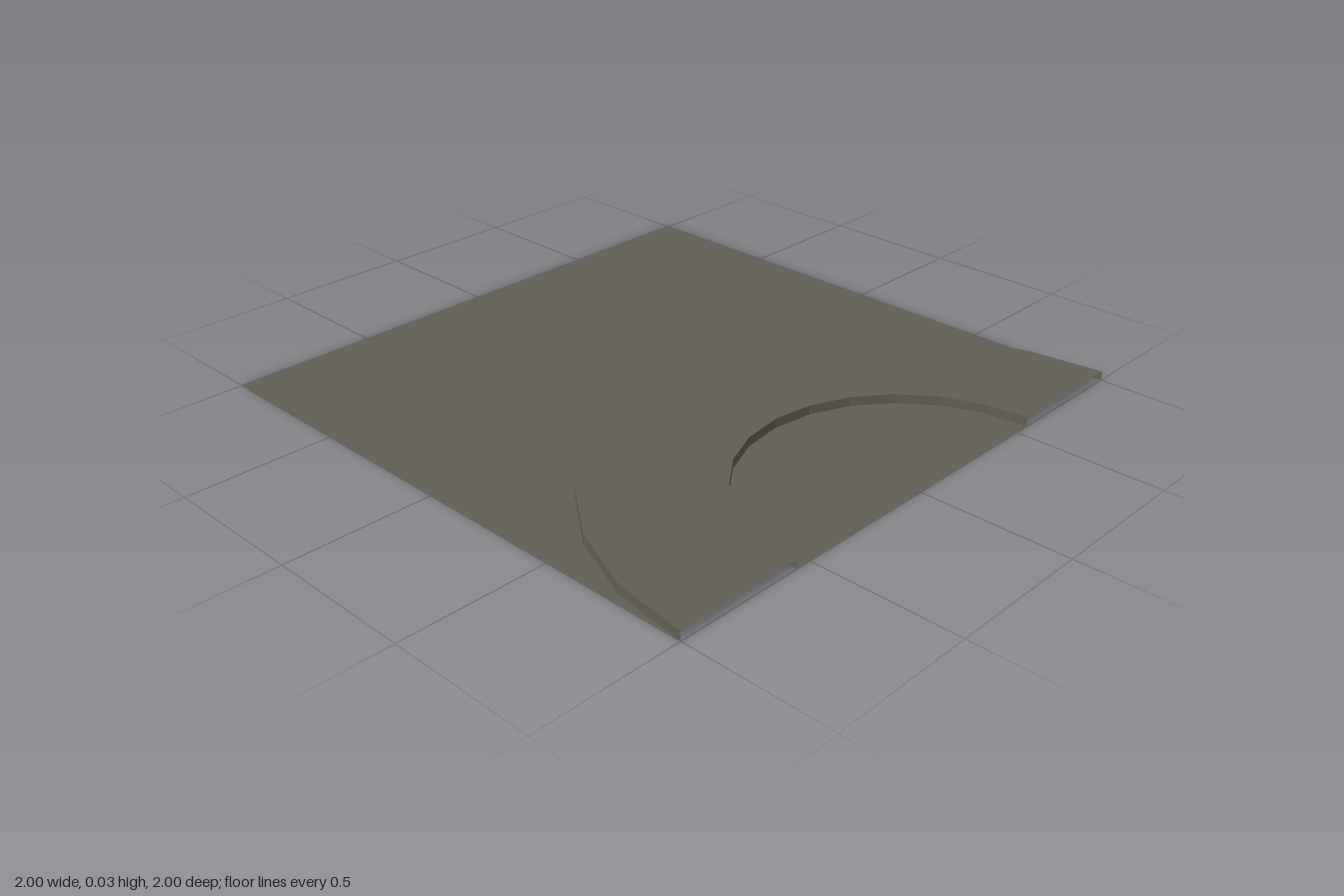
import * as THREE from 'three';

const OUTER = 1, INNER = 0.555, HEIGHT = 0.032, SEGMENTS = 12;

export function createModel() {
  const group = new THREE.Group();
  group.name = 'steppedGroundTile';
  const stone = new THREE.MeshStandardMaterial({ color: 0x615e54, flatShading: true, side: THREE.DoubleSide });
  stone.name = 'greyBrownStone';

  const add = (name, geometry, x = 0, y = 0) => {
    const mesh = new THREE.Mesh(geometry, stone);
    mesh.name = name;
    mesh.position.set(x, y, 0);
    group.add(mesh);
  };
  const flat = (geometry) => geometry.rotateX(-Math.PI / 2);

  // Low ground: a square with a half-round notch on its left side
  const ground = new THREE.Shape();
  ground.moveTo(-1, 1);
  ground.lineTo(-1, -1);
  for (let i = 0; i <= SEGMENTS; i++) {
    const a = 1.5 * Math.PI - (i / SEGMENTS) * Math.PI;
    ground.lineTo(1 + OUTER * Math.cos(a), OUTER * Math.sin(a));
  }
  ground.closePath();
  add('ground', flat(new THREE.ShapeGeometry(ground)));

  // Low half disc inside the curve
  add('innerGround', flat(new THREE.CircleGeometry(INNER, SEGMENTS, Math.PI / 2, Math.PI)), 1);

  // Raised half ring, hollow below and open at its ends
  add('raisedPath', flat(new THREE.RingGeometry(INNER, OUTER, SEGMENTS, 1, Math.PI / 2, Math.PI)), 1, HEIGHT);

  // Upright edges of the ring
  for (const [name, radius] of [['outerEdge', OUTER], ['innerEdge', INNER]]) {
    add(name, new THREE.CylinderGeometry(radius, radius, HEIGHT, SEGMENTS, 1, true, Math.PI, Math.PI), 1, HEIGHT / 2);
  }
  return group;
}
